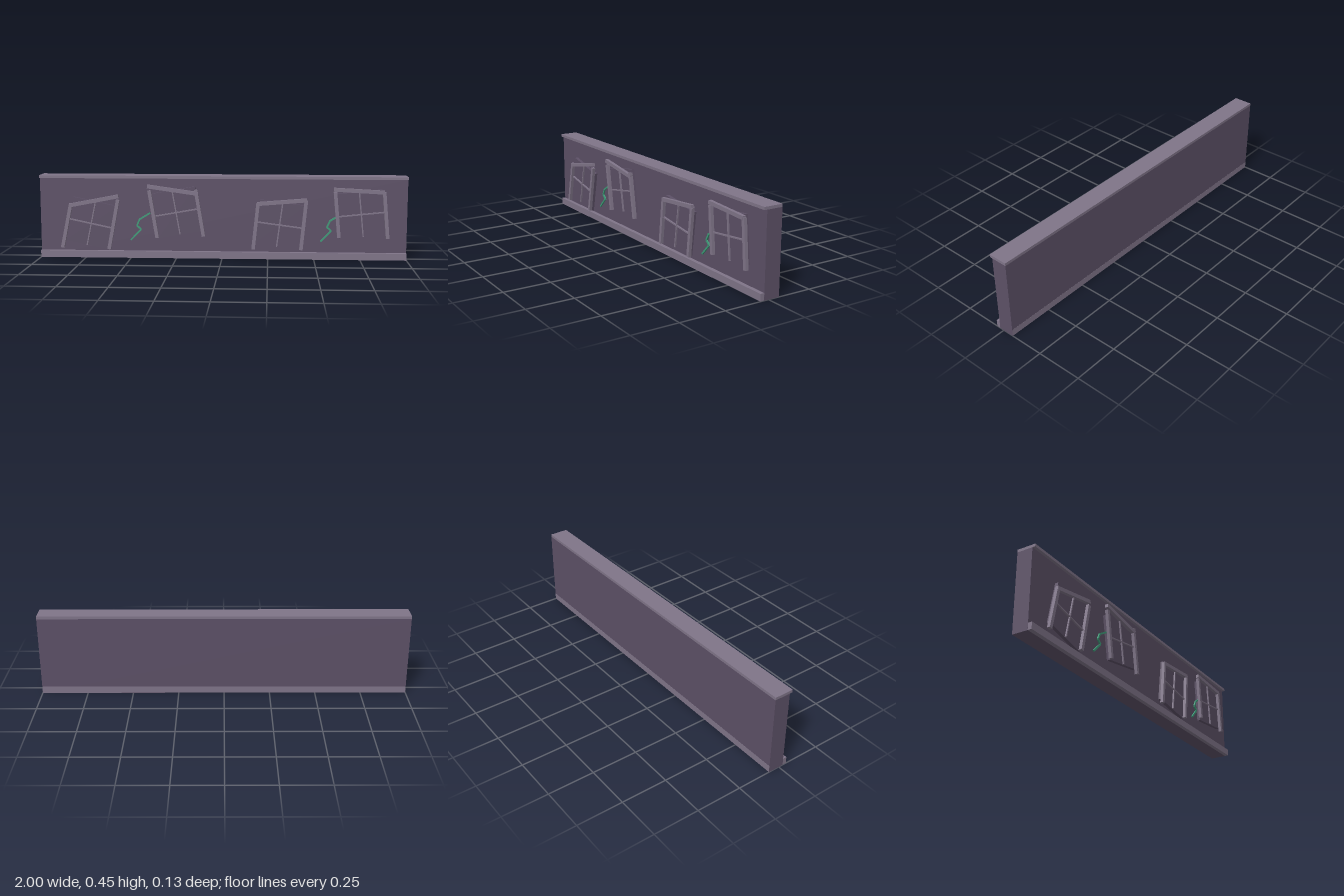
import * as THREE from 'three';

const mat = (name, color) => {
  const m = new THREE.MeshStandardMaterial({ color });
  m.name = name;
  return m;
};

export function createModel() {
  const wallMat = mat('dusky purple wall', 0x5c5066);
  const trimMat = mat('pale purple trim', 0x7f7488);
  const crackMat = mat('green crack', 0x3f9a78);
  const model = new THREE.Group();
  model.name = 'crookedWindowWall';

  // Box given by its extents in y and z, centred on x = 0
  const slab = (name, w, y0, y1, z0, z1, m) => {
    const mesh = new THREE.Mesh(new THREE.BoxGeometry(w, y1 - y0, z1 - z0), m);
    mesh.position.set(0, (y0 + y1) / 2, (z0 + z1) / 2);
    mesh.name = name;
    model.add(mesh);
  };

  // Straight bar between two points on the wall face
  const bar = (parent, name, [x0, y0, x1, y1], w, z0, z1, m) => {
    const len = Math.hypot(x1 - x0, y1 - y0);
    const mesh = new THREE.Mesh(new THREE.BoxGeometry(len, w, z1 - z0), m);
    mesh.position.set((x0 + x1) / 2, (y0 + y1) / 2, (z0 + z1) / 2);
    mesh.rotation.z = Math.atan2(y1 - y0, x1 - x0);
    mesh.name = name;
    parent.add(mesh);
  };

  // Wall with cornice and skirting
  slab('wall', 2, 0, 0.438, -0.063, 0.026, wallMat);
  slab('cornice', 2, 0.438, 0.453, -0.063, 0.042, trimMat);
  slab('skirting', 1.999, 0.0005, 0.038, -0.0634, 0.048, trimMat);

  // Crooked windows: tilted pane, loose side and top boards, thin glazing bars
  const windows = [
    { c: [-0.716, 0.19], tilt: -12, left: [-0.876, 0.057, -0.825, 0.3], right: [-0.619, 0.05, -0.567, 0.322], top: [-0.832, 0.29, -0.563, 0.342] },
    { c: [-0.249, 0.254], tilt: 10, left: [-0.395, 0.375, -0.353, 0.115], right: [-0.142, 0.38, -0.1, 0.125], top: [-0.405, 0.397, -0.13, 0.358] },
    { c: [0.313, 0.19], tilt: -7.5, left: [0.17, 0.057, 0.196, 0.31], right: [0.429, 0.055, 0.455, 0.322], top: [0.19, 0.305, 0.46, 0.327] },
    { c: [0.751, 0.251], tilt: 6, left: [0.61, 0.372, 0.633, 0.125], right: [0.871, 0.374, 0.894, 0.122], top: [0.602, 0.386, 0.872, 0.372] },
  ];
  for (const { c: [cx, cy], tilt, left, right, top } of windows) {
    const win = new THREE.Group();
    win.name = 'window';
    const a = THREE.MathUtils.degToRad(tilt);
    const line = (angle, h) => {
      const dx = Math.cos(angle) * h, dy = Math.sin(angle) * h;
      return [cx - dx, cy - dy, cx + dx, cy + dy];
    };
    bar(win, 'pane', line(a, 0.125), 0.245, 0.02, 0.045, wallMat);
    bar(win, 'glazingBarAcross', line(a, 0.125), 0.007, 0.044, 0.054, trimMat);
    bar(win, 'glazingBarUpright', line(a + Math.PI / 2, 0.122), 0.007, 0.044, 0.0535, trimMat);
    bar(win, 'leftBoard', left, 0.019, 0.045, 0.0625, trimMat);
    bar(win, 'rightBoard', right, 0.019, 0.045, 0.0625, trimMat);
    bar(win, 'topBoard', top, 0.02, 0.045, 0.0635, trimMat);
    model.add(win);
  }

  // Zigzag cracks
  const cracks = [
    [[-0.5, 0.1], [-0.442, 0.16], [-0.465, 0.18], [-0.45, 0.215], [-0.392, 0.25]],
    [[0.535, 0.1], [0.592, 0.16], [0.568, 0.18], [0.585, 0.215], [0.618, 0.235]],
  ];
  for (const pts of cracks) {
    const crack = new THREE.Group();
    crack.name = 'crack';
    for (let i = 1; i < pts.length; i++) {
      bar(crack, 'crackSegment', [...pts[i - 1], ...pts[i]], 0.009, 0.041, 0.049, crackMat);
    }
    model.add(crack);
  }
  return model;
}
